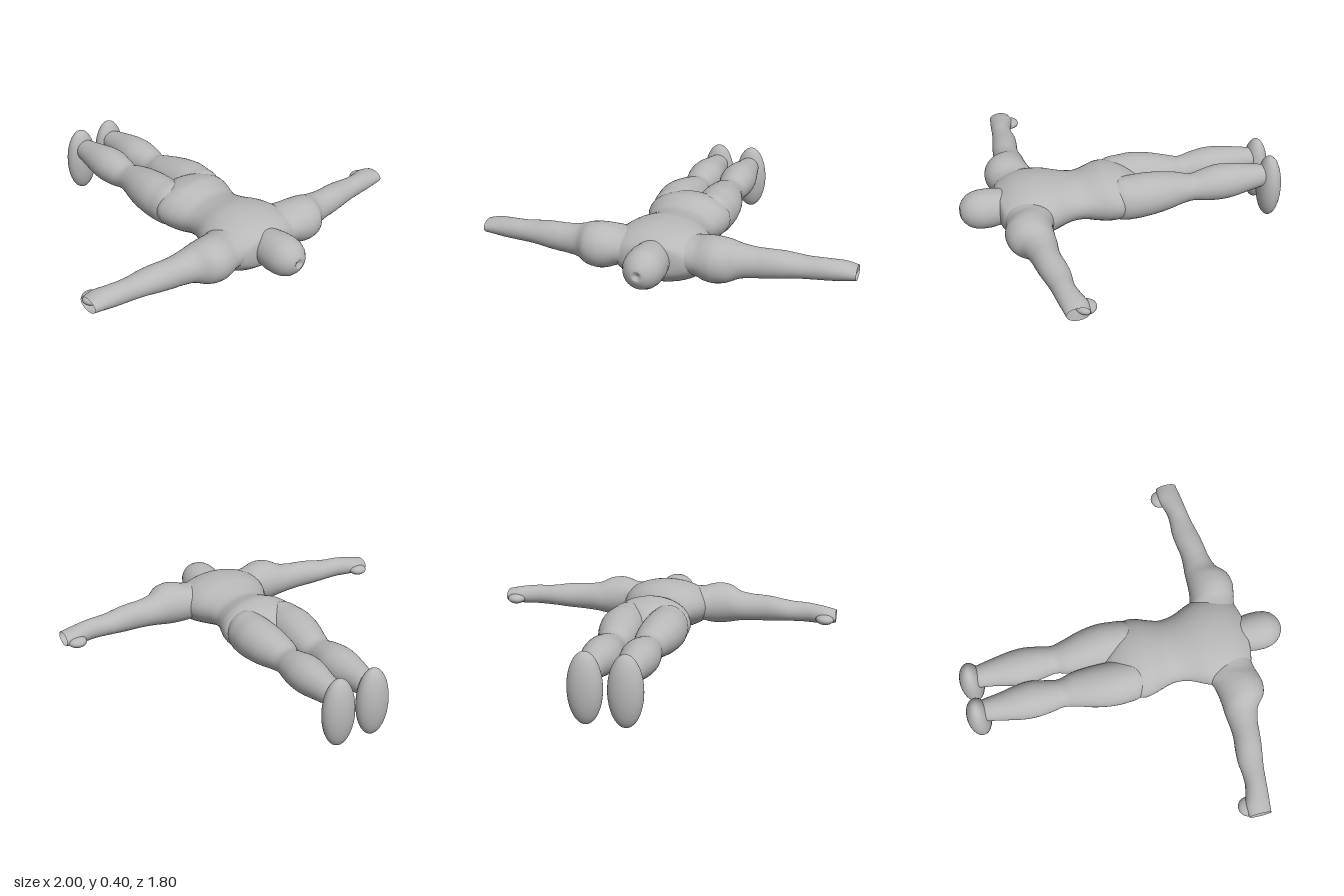
import * as THREE from 'three';

const SEG = 40;

// Smooth skin through elliptical sections [t, aMin, aMax, bMin, bMax].
// place(t, a, b) returns the point; flip reverses the winding.
function loft(sections, place, { steps = 6, flip = false, capStart = true, capEnd = true } = {}) {
  const cubic = (p0, p1, p2, p3, u) => {
    const m1 = (p2 - p0) / 2, m2 = (p3 - p1) / 2, d = p1 - p2;
    return p1 + u * (m1 + u * (-3 * d - 2 * m1 - m2 + u * (2 * d + m1 + m2)));
  };
  const last = sections.length - 1;
  const rows = [];
  for (let i = 0; i < last; i++) {
    const q = [Math.max(i - 1, 0), i, i + 1, Math.min(i + 2, last)].map((k) => sections[k]);
    for (let s = 0; s < steps; s++) {
      rows.push(q[1].map((_, k) => cubic(q[0][k], q[1][k], q[2][k], q[3][k], s / steps)));
    }
  }
  rows.push(sections[last]);

  const pos = [], idx = [];
  const tri = (a, b, c) => (flip ? idx.push(a, c, b) : idx.push(a, b, c));
  rows.forEach(([t, a0, a1, b0, b1], r) => {
    for (let j = 0; j < SEG; j++) {
      const w = (j / SEG) * Math.PI * 2;
      pos.push(...place(t, (a0 + a1) / 2 + ((a1 - a0) / 2) * Math.cos(w), (b0 + b1) / 2 + ((b1 - b0) / 2) * Math.sin(w)));
      if (r === 0) continue;
      const k = (j + 1) % SEG, p = (r - 1) * SEG, n = r * SEG;
      tri(p + j, p + k, n + j);
      tri(p + k, n + k, n + j);
    }
  });
  const cap = (r, start) => {
    const [t, a0, a1, b0, b1] = rows[r], c = pos.length / 3;
    pos.push(...place(t, (a0 + a1) / 2, (b0 + b1) / 2));
    for (let j = 0; j < SEG; j++) {
      const p = r * SEG + j, n = r * SEG + ((j + 1) % SEG);
      if (start) tri(c, n, p);
      else tri(c, p, n);
    }
  };
  if (capStart) cap(0, true);
  if (capEnd) cap(rows.length - 1, false);

  const geo = new THREE.BufferGeometry();
  geo.setAttribute('position', new THREE.Float32BufferAttribute(pos, 3));
  geo.setIndex(idx);
  geo.computeVertexNormals();
  return geo;
}

export function createModel() {
  const model = new THREE.Group();
  model.name = 'lyingFigure';
  const skin = new THREE.MeshStandardMaterial({ color: 0xb8b8b8, side: THREE.DoubleSide });
  skin.name = 'grey skin';

  const add = (name, geo) => {
    const mesh = new THREE.Mesh(geo, skin);
    mesh.name = name;
    model.add(mesh);
    return mesh;
  };
  const ellipsoid = (name, p, r) => {
    const mesh = add(name, new THREE.SphereGeometry(1, 36, 24));
    mesh.position.set(...p);
    mesh.scale.set(...r);
    return mesh;
  };

  // Torso, from crotch to neck: z, x range, y range
  const torso = [
    [-0.1, 0.02, 0.22, 0.3], [-0.06, 0.08, 0.18, 0.345], [0, 0.19, 0.145, 0.38],
    [0.06, 0.228, 0.125, 0.397], [0.12, 0.222, 0.12, 0.404], [0.18, 0.202, 0.128, 0.39],
    [0.25, 0.184, 0.145, 0.373], [0.33, 0.195, 0.145, 0.383], [0.42, 0.235, 0.125, 0.402],
    [0.5, 0.262, 0.105, 0.405], [0.56, 0.268, 0.098, 0.398], [0.62, 0.25, 0.115, 0.382],
    [0.67, 0.205, 0.15, 0.355], [0.695, 0.14, 0.18, 0.335], [0.705, 0.05, 0.23, 0.285],
  ].map(([z, w, b, t]) => [z, -w, w, b, t]);
  add('torso', loft(torso, (z, x, y) => [x, y, z]));

  // Head: a domed cylinder with a small dimple at the crown
  const headProfile = [
    [0.095, 0.66], [0.1, 0.7], [0.106, 0.74], [0.106, 0.79], [0.1, 0.825], [0.085, 0.858],
    [0.062, 0.882], [0.04, 0.895], [0.027, 0.9], [0.022, 0.897], [0.0, 0.885],
  ].map(([r, z]) => new THREE.Vector2(r, z));
  const head = add('head', new THREE.LatheGeometry(headProfile, SEG));
  head.rotation.x = Math.PI / 2;
  head.position.y = 0.26;

  // Leg, from ankle to hip: z, x range, y range
  const leg = [
    [-0.84, 0.045, 0.15, 0.21, 0.315], [-0.78, 0.036, 0.162, 0.2, 0.328], [-0.7, 0.025, 0.178, 0.188, 0.342],
    [-0.6, 0.004, 0.196, 0.17, 0.358], [-0.52, -0.002, 0.2, 0.166, 0.36], [-0.44, 0.012, 0.19, 0.173, 0.347],
    [-0.37, 0.022, 0.178, 0.184, 0.332], [-0.3, 0.004, 0.192, 0.175, 0.35], [-0.2, -0.005, 0.222, 0.16, 0.373],
    [-0.1, -0.005, 0.237, 0.15, 0.386], [-0.02, -0.005, 0.234, 0.143, 0.384], [0.05, 0.0, 0.222, 0.145, 0.38],
    [0.13, 0.03, 0.18, 0.18, 0.34],
  ];
  // Arm, from chest to open wrist: x, z range, y range
  const arm = [
    [0.1, 0.46, 0.68, 0.17, 0.36], [0.2, 0.43, 0.69, 0.165, 0.362], [0.26, 0.45, 0.705, 0.148, 0.376],
    [0.31, 0.46, 0.712, 0.144, 0.381], [0.37, 0.465, 0.698, 0.152, 0.372], [0.43, 0.467, 0.65, 0.17, 0.347],
    [0.5, 0.474, 0.628, 0.178, 0.336], [0.56, 0.475, 0.62, 0.182, 0.334], [0.63, 0.466, 0.611, 0.188, 0.33],
    [0.7, 0.461, 0.598, 0.196, 0.32], [0.76, 0.466, 0.587, 0.199, 0.314], [0.82, 0.466, 0.58, 0.201, 0.313],
    [0.88, 0.452, 0.574, 0.202, 0.308], [0.94, 0.435, 0.567, 0.206, 0.3], [1.0, 0.442, 0.56, 0.214, 0.286],
  ];

  for (const [side, s] of [['left', 1], ['right', -1]]) {
    add(side + 'Leg', loft(leg, (z, x, y) => [s * x, y, z], { flip: s < 0 }));
    ellipsoid(side + 'Foot', [s * 0.103, 0.19, -0.835], [0.091, 0.188, 0.066]);
    add(side + 'Arm', loft(arm, (x, z, y) => [s * x, y, z], { flip: s > 0, capEnd: false }));
    ellipsoid(side + 'Thumb', [s * 0.94, 0.24, 0.45], [0.052, 0.03, 0.052]);
  }

  return model;
}
